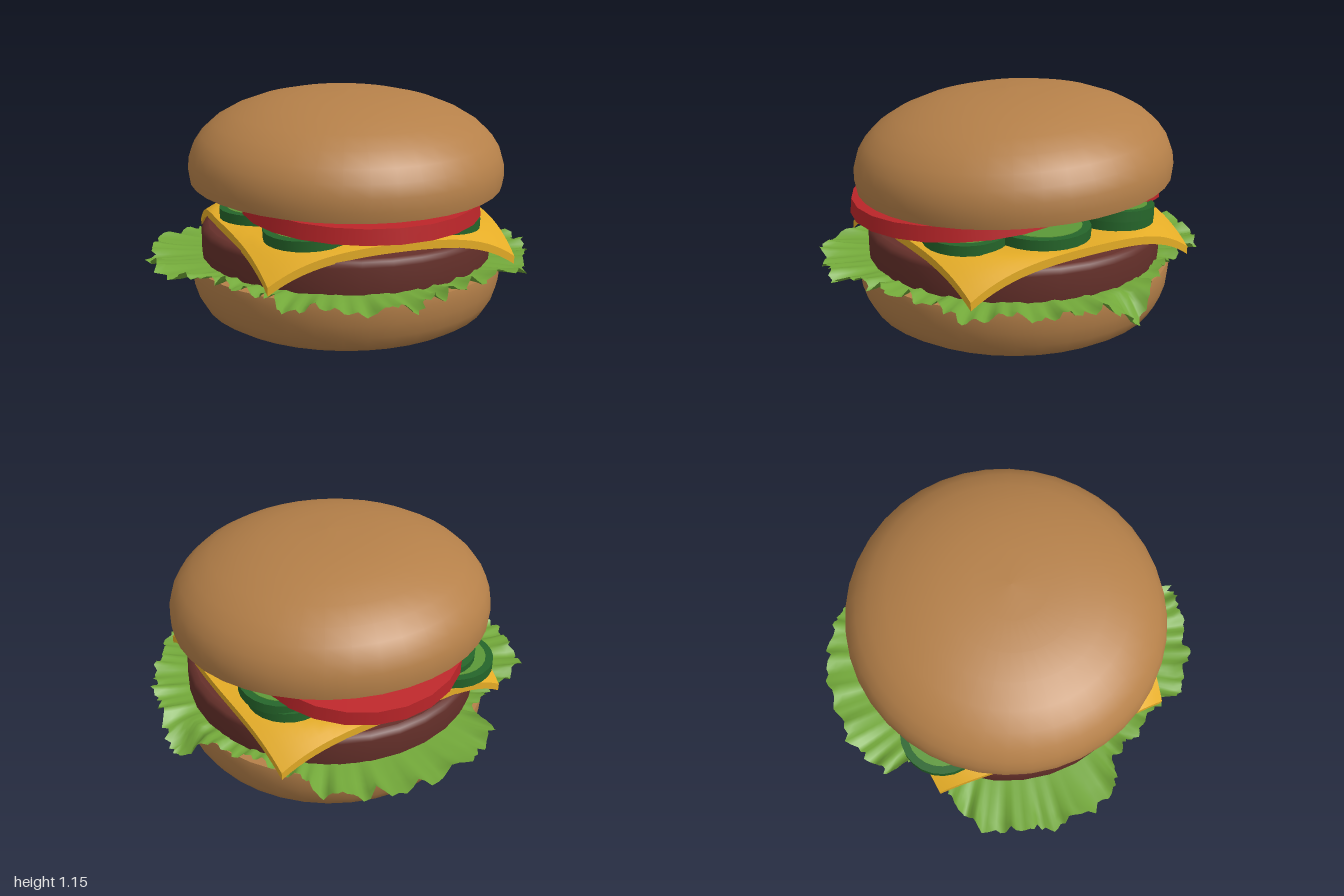
import * as THREE from 'three';

const mat = (name, color, side = THREE.FrontSide) => {
  const m = new THREE.MeshStandardMaterial({ color, side });
  m.name = name;
  return m;
};

const CX = 0.03; // the stack sits slightly off centre inside the lettuce

export function createModel() {
  const bun = mat('toasted bun', 0xb58049);
  const meat = mat('patty brown', 0x65302a);
  const cheeseYellow = mat('cheese yellow', 0xe4ac26);
  const red = mat('tomato red', 0xbb2529);
  const rind = mat('pickle rind', 0x25652a);
  const flesh = mat('pickle flesh', 0x5c9838);
  const leaf = mat('lettuce green', 0x73a93a, THREE.DoubleSide);

  const model = new THREE.Group();
  model.name = 'burger';

  const add = (name, geometry, material, x, y, z, parent = model) => {
    const mesh = new THREE.Mesh(geometry, material);
    mesh.name = name;
    mesh.position.set(x, y, z);
    parent.add(mesh);
    return mesh;
  };
  // Repeated profile points make a sharp edge
  const lathe = (points, segments) =>
    new THREE.LatheGeometry(points.map(([r, y]) => new THREE.Vector2(r, y)), segments);

  // Buns
  add('bottomBun', lathe([[0, 0], [0.48, 0], [0.68, 0.025], [0.735, 0.06], [0.77, 0.12],
    [0.792, 0.19], [0.8, 0.26], [0.795, 0.298], [0.795, 0.298], [0, 0.298]], 40), bun, CX, 0, 0);

  const topBun = add('topBun', lathe([[0, 0], [0.793, 0], [0.793, 0], [0.8, 0.05], [0.795, 0.11],
    [0.775, 0.17], [0.735, 0.23], [0.67, 0.29], [0.58, 0.342], [0.46, 0.388], [0.33, 0.418],
    [0.18, 0.436], [0, 0.442]], 40), bun, CX, 0.705, 0);
  topBun.rotation.x = 0.056;

  // Patty
  add('patty', lathe([[0, 0], [0.73, 0], [0.73, 0], [0.745, 0.02], [0.745, 0.14], [0.735, 0.165],
    [0.71, 0.173], [0.71, 0.173], [0, 0.173]], 32), meat, CX, 0.303, 0);

  // Cheese slice: its corners bend down and tuck in past the patty rim
  const cheeseGeo = new THREE.BoxGeometry(1.36, 0.04, 1.36, 28, 1, 28);
  const p = cheeseGeo.attributes.position;
  for (let i = 0; i < p.count; i++) {
    const x = p.getX(i), z = p.getZ(i), r = Math.hypot(x, z) || 1;
    const e = Math.max(0, r - 0.68);
    const k = 1 - (0.27 * e) / r;
    p.setXYZ(i, x * k, p.getY(i) - 0.25 * e - 1.0 * e * e, z * k);
  }
  cheeseGeo.computeVertexNormals();
  add('cheeseSlice', cheeseGeo, cheeseYellow, 0.035, 0.508, 0).rotation.y = 0.09;

  // Pickle slices: dark rind with pale faces [x, y, z, radius, tiltX, tiltZ]
  [
    [-0.29, 0.553, 0.45, 0.21, 0.05, 0.04],
    [0.37, 0.555, 0.43, 0.2, 0, -0.04],
    [0.47, 0.557, 0.08, 0.23, 0, 0],
    [0.42, 0.55, -0.35, 0.2, 0, 0],
    [0.45, 0.597, -0.33, 0.2, -0.05, 0.05],
    [-0.4, 0.557, -0.47, 0.21, 0, 0],
    [-0.33, 0.6, -0.43, 0.2, -0.04, 0],
    [-0.42, 0.557, 0.03, 0.21, 0, 0],
  ].forEach(([x, y, z, r, tx, tz], i) => {
    const slice = new THREE.Group();
    slice.name = `pickleSlice${i + 1}`;
    slice.position.set(x, y, z);
    slice.rotation.set(tx, 0, tz);
    add('pickleRind', new THREE.CylinderGeometry(r, r, 0.05, 24), rind, 0, 0, 0, slice);
    add('pickleFace', new THREE.CylinderGeometry(r * 0.82, r * 0.82, 0.056, 24), flesh, 0, 0, 0, slice);
    model.add(slice);
  });

  // Tomato slices, overlapping and leaning apart
  const tomato = (name, r, y, z, tilt) => {
    add(name, new THREE.CylinderGeometry(r, r * 1.02, 0.072, 24), red, CX, y, z).rotation.x = tilt;
  };
  tomato('frontTomatoSlice', 0.575, 0.642, 0.255, 0.055);
  tomato('backTomatoSlice', 0.535, 0.685, -0.255, -0.15);

  // Lettuce leaf: a ruffled ring following a hand-drawn outline (x, z)
  const outline = [[0.98, -0.1], [0.97, 0.12], [0.94, 0.3], [0.84, 0.48], [0.76, 0.65], [0.55, 0.71],
    [0.36, 0.82], [0.2, 0.89], [0.05, 1.0], [-0.13, 0.99], [-0.32, 0.94], [-0.5, 0.83], [-0.56, 0.66],
    [-0.68, 0.5], [-0.76, 0.36], [-0.92, 0.3], [-1.0, 0.0], [-0.98, -0.2], [-0.9, -0.43],
    [-0.74, -0.53], [-0.56, -0.58], [-0.46, -0.68], [-0.46, -0.82], [-0.3, -0.94], [0, -1.01],
    [0.32, -0.95], [0.5, -0.83], [0.55, -0.68], [0.68, -0.53], [0.8, -0.36], [0.93, -0.22]];
  const curve = new THREE.CatmullRomCurve3(
    outline.map(([x, z]) => new THREE.Vector3(x, 0, z)), true);
  const N = 300, RINGS = 8;
  let seed = 7;
  const rand = () => (seed = (seed * 16807) % 2147483647) / 2147483647;
  const pos = [], idx = [];
  for (let i = 0; i < N; i++) {
    const c = curve.getPoint(i / N);
    const a = Math.atan2(c.z, c.x);
    const jag = 0.03 * rand() + 0.025 * (0.5 + 0.5 * Math.sin(a * 43 + 2 * Math.sin(a * 9)));
    const R = Math.hypot(c.x, c.z) - (i % 75 === 0 ? 0 : jag);
    const wave = 0.018 * Math.sin(a * 27 + 2 * Math.sin(a * 5)) + 0.012 * Math.sin(a * 61);
    const flap = Math.exp(-(((a + 0.18) / 0.1) ** 2)); // the one drooping frill
    for (let j = 0; j <= RINGS; j++) {
      const t = j / RINGS, r = 0.6 + (R - 0.6) * t;
      const droop = flap * 0.14 * THREE.MathUtils.smoothstep(r, 0.82, 0.95);
      const y = 0.318 + t * t * (wave + 0.01) + (j === RINGS ? 0.012 * (rand() - 0.3) : 0) - droop;
      pos.push(r * Math.cos(a), Math.max(y, droop > 0.01 ? 0.2 : 0.303), r * Math.sin(a));
      if (j < RINGS) {
        const q = i * (RINGS + 1) + j, n = ((i + 1) % N) * (RINGS + 1) + j;
        idx.push(q, n, q + 1, n, n + 1, q + 1);
      }
    }
  }
  const leafGeo = new THREE.BufferGeometry();
  leafGeo.setAttribute('position', new THREE.Float32BufferAttribute(pos, 3));
  leafGeo.setIndex(idx);
  leafGeo.computeVertexNormals();
  add('lettuceLeaf', leafGeo, leaf, 0, 0, 0);

  return model;
}
